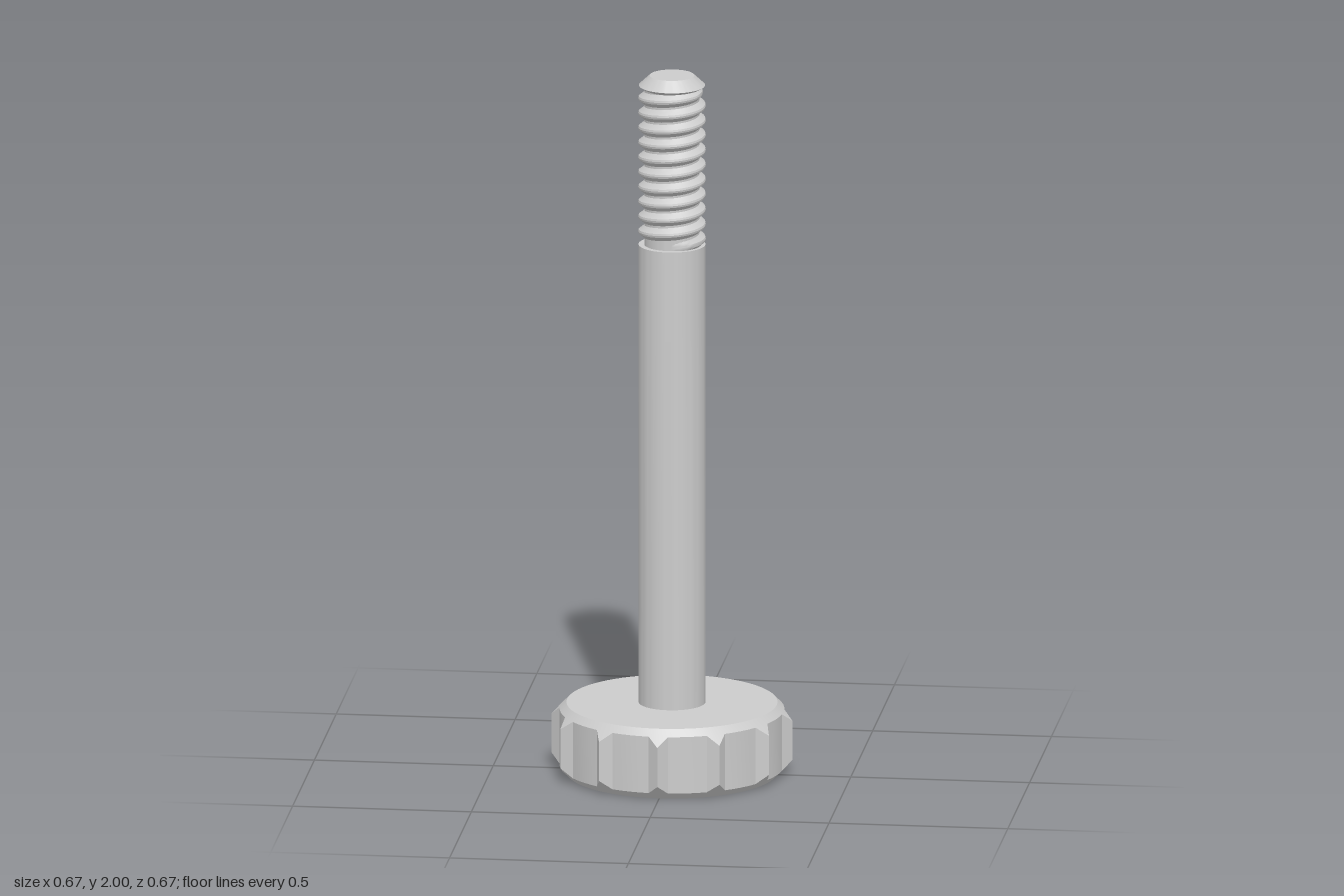
import * as THREE from 'three';
import { toCreasedNormals } from 'three/addons/utils/BufferGeometryUtils.js';

const CREASE = Math.PI / 7;
const material = new THREE.MeshStandardMaterial({ color: 0xcccccc });

function lathe(points, segments) {
  return new THREE.LatheGeometry(points.map(([r, y]) => new THREE.Vector2(r, y)), segments);
}

function addPart(group, name, geometry) {
  const mesh = new THREE.Mesh(toCreasedNormals(geometry, CREASE), material);
  mesh.name = name;
  group.add(mesh);
}

// Chamfered disc whose rim is pulled out into twelve pointed grip teeth
function gripHead() {
  const top = 0.2, capR = 0.293, rimR = 0.312, toothR = 0.337;
  const profile = [[0, 0], [capR, 0], [rimR, rimR - capR], [rimR, top - (rimR - capR)], [capR, top], [0, top]];
  const geometry = lathe(profile, 72);
  const pos = geometry.attributes.position;
  for (let i = 0; i <= 72; i += 6) {
    const a = i * Math.PI / 36;
    const drop = toothR - capR;
    [[2, drop], [3, top - drop]].forEach(([j, y]) =>
      pos.setXYZ(i * profile.length + j, toothR * Math.sin(a), y, toothR * Math.cos(a)));
  }
  return geometry;
}

// Rounded ridge wound up the core as a right-hand helix, fading out at both ends
function threadRidge(coreR, crestR, yStart, yEnd, pitch) {
  const section = [[0, -0.45], [0.5, -0.27], [0.92, -0.13], [1, 0], [0.92, 0.13], [0.5, 0.27], [0, 0.45]];
  const perTurn = 48, n = section.length;
  const turns = (yEnd - yStart) / pitch;
  const steps = Math.round(turns * perTurn);
  const positions = [], indices = [];
  for (let i = 0; i <= steps; i++) {
    const a = i / perTurn * Math.PI * 2;
    const y = yStart + i / perTurn * pitch;
    const fade = Math.min(1, i / 12, (steps - i) / 12);
    for (const [h, w] of section) {
      const r = coreR - 0.001 + (crestR - coreR + 0.001) * h * fade;
      positions.push(r * Math.sin(a), y + w * pitch, r * Math.cos(a));
    }
    if (i === steps) continue;
    for (let j = 0; j < n - 1; j++) {
      const p = i * n + j, q = p + n;
      indices.push(p, q, q + 1, p, q + 1, p + 1);
    }
  }
  const geometry = new THREE.BufferGeometry();
  geometry.setAttribute('position', new THREE.Float32BufferAttribute(positions, 3));
  geometry.setIndex(indices);
  return geometry;
}

export function createModel() {
  const group = new THREE.Group();
  group.name = 'thumbScrew';

  addPart(group, 'gripHead', gripHead());

  // Plain shank, ending in a small shoulder
  addPart(group, 'shank', lathe([[0.093, 0.199], [0.093, 1.515], [0.07, 1.515]], 64));

  // Thread core with a chamfered tip
  addPart(group, 'threadCore', lathe(
    [[0.077, 1.51], [0.077, 1.962], [0.092, 1.972], [0.062, 2], [0, 2]], 64));

  addPart(group, 'thread', threadRidge(0.077, 0.094, 1.52, 1.962, 0.0425));

  return group;
}
